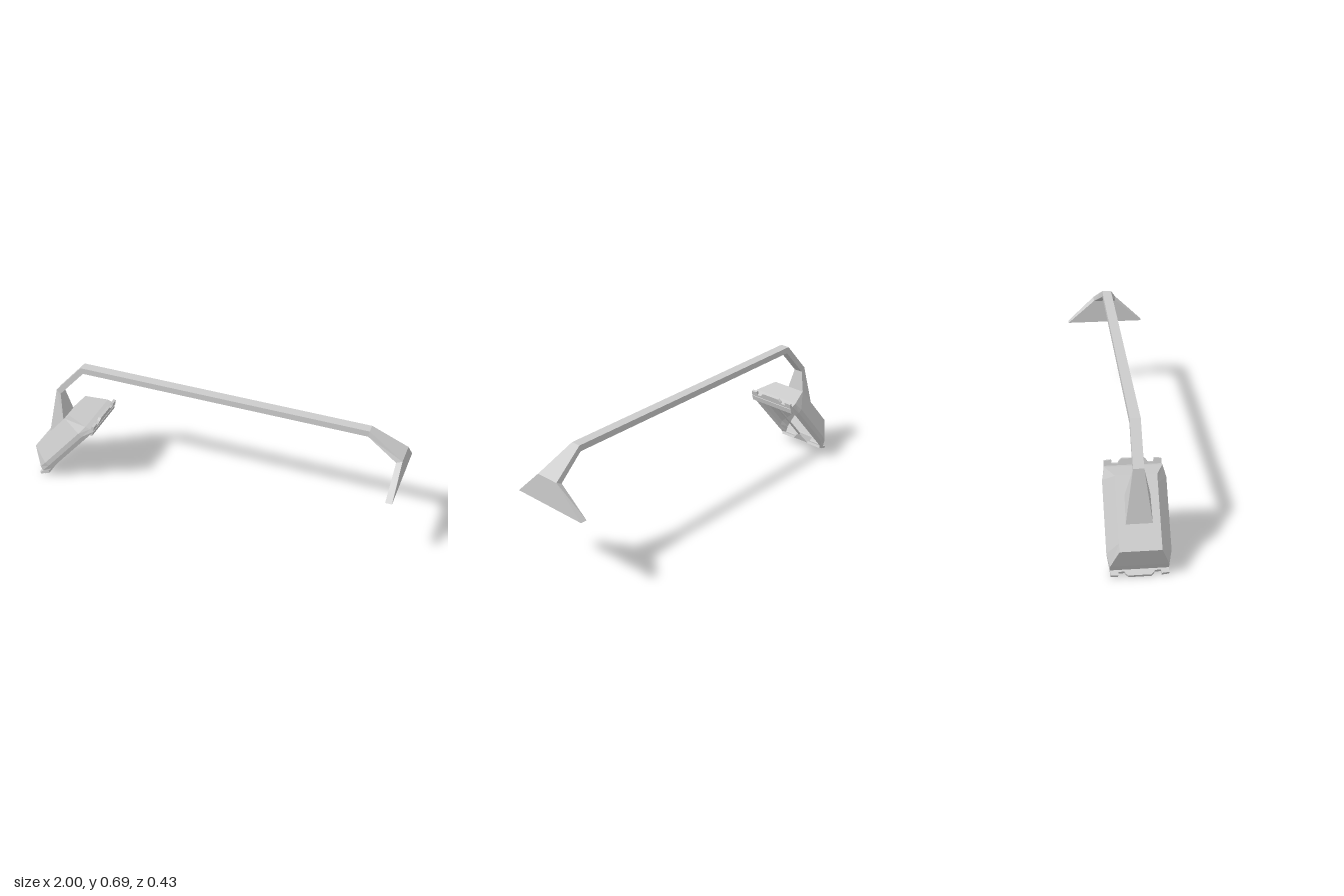
import * as THREE from 'three';

const grey = new THREE.MeshStandardMaterial({ color: 0xcccccc, flatShading: true });
const greyOpen = new THREE.MeshStandardMaterial({ color: 0xcccccc, flatShading: true, side: THREE.DoubleSide });

function part(name, geometry, material = grey) {
  const mesh = new THREE.Mesh(geometry, material);
  mesh.name = name;
  return mesh;
}

// Joins equal-length rings of points into a faceted skin, with optional end caps
function loft(rings, capStart, capEnd) {
  const n = rings[0].length, index = [];
  for (let r = 0; r < rings.length - 1; r++) {
    for (let k = 0; k < n; k++) {
      const a = r * n + k, b = r * n + (k + 1) % n;
      index.push(a, b + n, b, a, a + n, b + n);
    }
  }
  const last = (rings.length - 1) * n;
  for (let k = 1; k < n - 1; k++) {
    if (capStart) index.push(0, k, k + 1);
    if (capEnd) index.push(last, last + k + 1, last + k);
  }
  const geo = new THREE.BufferGeometry();
  geo.setAttribute('position', new THREE.Float32BufferAttribute(rings.flat(2), 3));
  geo.setIndex(index);
  const flat = geo.toNonIndexed();
  flat.computeVertexNormals();
  return flat;
}

// Notched end clip: wide centre tab, two notches and two corner tabs
function clipGeometry() {
  const half = [[0.137, 0], [0.135, 0.06], [0.1, 0.063], [0.098, 0.045], [0.07, 0.045], [0.065, 0.055], [0.053, 0.067]];
  const outline = [...half, ...half.map(([x, y]) => [-x, y]).reverse()];
  const shape = new THREE.Shape(outline.map(([x, y]) => new THREE.Vector2(x, y)));
  return new THREE.ExtrudeGeometry(shape, { depth: 0.014, bevelEnabled: false });
}

function createArm() {
  // Outer x, y; inner x, y; half width
  const sections = [
    [-0.92, 0.26, -0.83, 0.35, 0.062],
    [-0.875, 0.525, -0.853, 0.505, 0.025],
    [-0.72, 0.697, -0.708, 0.665, 0.025],
    [0.82, 0.697, 0.815, 0.665, 0.025],
    [1.0, 0.592, 0.97, 0.577, 0.063],
    [1.0, 0.445, 0.967, 0.445, 0.215],
  ];
  const rings = sections.map(([ox, oy, ix, iy, w]) => [[ox, oy, w], [ox, oy, -w], [ix, iy, -w], [ix, iy, w]]);
  const arm = new THREE.Group();
  arm.name = 'arm';
  arm.add(part('armBeam', loft(rings.slice(0, 5), true, false)));
  arm.add(part('mountingPlate', loft(rings.slice(4), false, true)));
  return arm;
}

// Head is built with x along its length, y towards its back, z across
function createHead() {
  const head = new THREE.Group();
  head.name = 'lampHead';

  // Shade: chamfered rim narrowing to a flat back
  // Depth, start, end, half width at ends, half width at middle, chamfer length
  const levels = [
    [-0.017, 0.0, 0.495, 0.136, 0.139, 0.07],
    [0.005, 0.008, 0.49, 0.136, 0.148, 0.07],
    [0.03, 0.02, 0.48, 0.136, 0.15, 0.06],
    [0.13, 0.073, 0.42, 0.097, 0.097, 0.04],
  ];
  const rings = levels.map(([y, s, e, we, wm, c]) => [
    [s, y, -we], [s + c, y, -wm], [e - c, y, -wm], [e, y, -we],
    [e, y, we], [e - c, y, wm], [s + c, y, wm], [s, y, we],
  ]);
  head.add(part('shade', loft(rings, false, true), greyOpen));

  // Thin lamp tube between the two holders
  const tube = part('lampTube', new THREE.CylinderGeometry(0.006, 0.006, 0.33, 8));
  tube.rotation.z = Math.PI / 2;
  tube.position.set(0.248, -0.005, 0);
  head.add(tube);

  // The same clip and tube holder at both ends
  for (const turn of [0, Math.PI]) {
    const end = new THREE.Group();
    end.name = turn ? 'upperEnd' : 'lowerEnd';
    end.position.x = 0.248;
    end.rotation.y = turn;

    const clip = part('endClip', clipGeometry());
    const c = Math.cos(0.46), s = Math.sin(0.46);
    clip.applyMatrix4(new THREE.Matrix4().makeBasis(
      new THREE.Vector3(0, 0, 1), new THREE.Vector3(-c, s, 0), new THREE.Vector3(-s, -c, 0),
    ).setPosition(-0.211, -0.016, 0));
    end.add(clip);

    const cone = new THREE.ConeGeometry(Math.SQRT2, 0.06, 4).rotateY(Math.PI / 4);
    cone.scale(0.022, 1, 0.055).rotateZ(-Math.PI / 2);
    const holder = part('tubeHolder', cone);
    holder.position.set(-0.19, -0.005, 0);
    end.add(holder);
    head.add(end);
  }

  head.rotation.z = Math.atan2(0.755, 0.656);
  head.position.set(-0.95, 0.03, 0);
  return head;
}

export function createModel() {
  const model = new THREE.Group();
  model.name = 'armLamp';
  model.add(createArm(), createHead());
  return model;
}
